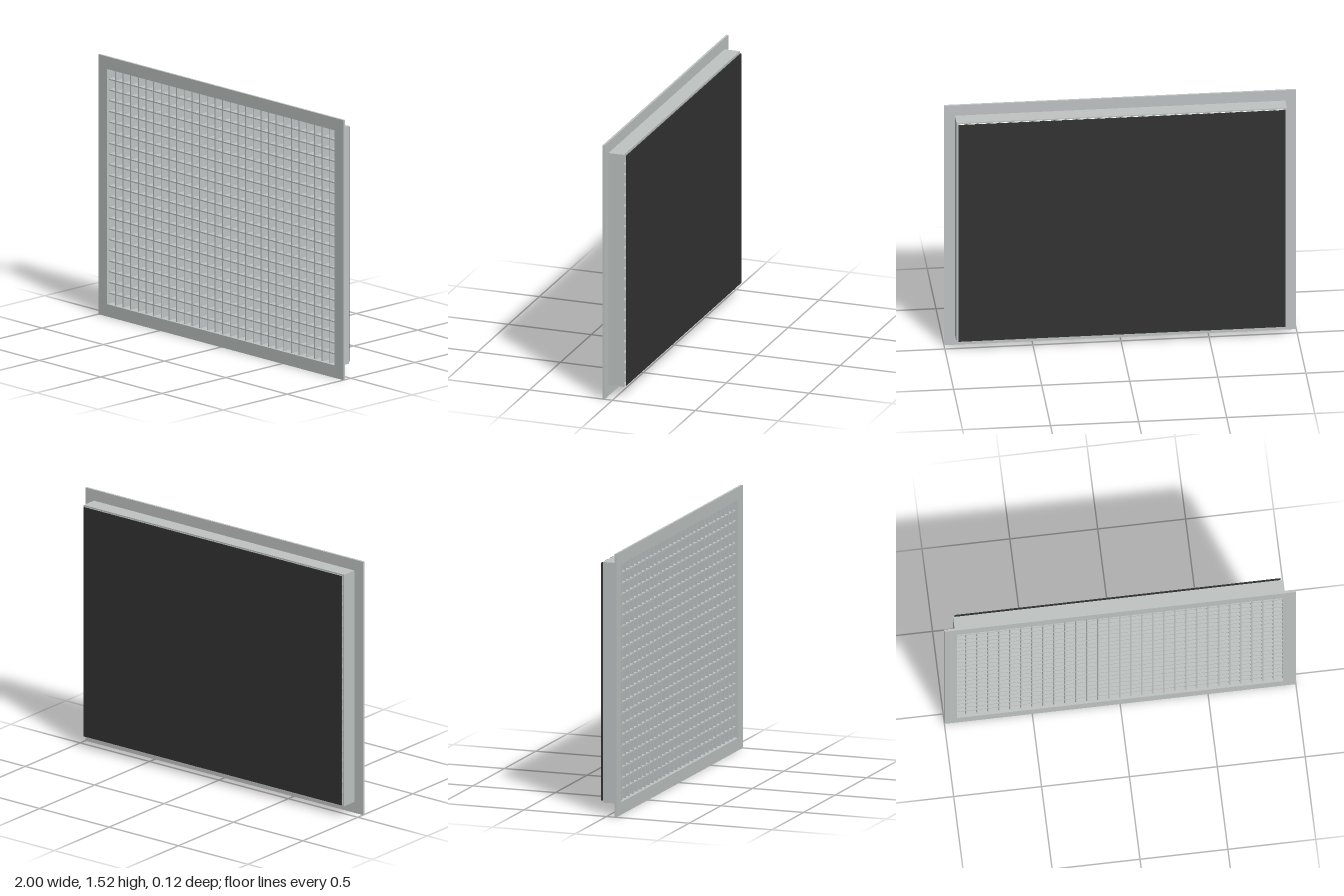
import * as THREE from 'three';

const CENTER_Y = 0.76;
const PITCH = 0.0625;
const BAR = 0.007;
const INNER_W = 1.855, INNER_H = 1.375;
const BODY_BACK = -0.046, BODY_FRONT = 0.047;

// Rectangular ring extruded along z between two depths
function ring(width, height, z0, z1) {
  const rect = (Type, w, h) => {
    const r = new Type();
    r.moveTo(-w / 2, -h / 2);
    r.lineTo(w / 2, -h / 2);
    r.lineTo(w / 2, h / 2);
    r.lineTo(-w / 2, h / 2);
    r.closePath();
    return r;
  };
  const shape = rect(THREE.Shape, width, height);
  shape.holes.push(rect(THREE.Path, INNER_W, INNER_H));
  const geo = new THREE.ExtrudeGeometry(shape, { depth: z1 - z0, bevelEnabled: false });
  return geo.translate(0, 0, z0);
}

export function createModel() {
  const model = new THREE.Group();
  model.name = 'eggCrateGrille';

  const metal = new THREE.MeshStandardMaterial({ color: 0xc0c5c4 });
  metal.name = 'lightGreyMetal';
  const dark = new THREE.MeshStandardMaterial({ color: 0x333333 });
  dark.name = 'darkBacking';

  const add = (name, geo, mat, parent = model) => {
    const mesh = new THREE.Mesh(geo, mat);
    mesh.name = name;
    parent.add(mesh);
    return mesh;
  };

  // Front flange and the shallow neck behind it
  add('flange', ring(2, 1.52, BODY_FRONT, 0.06), metal).position.y = CENTER_Y;
  add('neck', ring(1.876, 1.39, BODY_BACK, BODY_FRONT), metal).position.y = CENTER_Y;

  // Crossing bars of the open grid
  const core = new THREE.Group();
  core.name = 'gridCore';
  core.position.set(0, CENTER_Y, (BODY_BACK + BODY_FRONT) / 2);
  model.add(core);
  const depth = BODY_FRONT - BODY_BACK - 0.002;
  const upright = new THREE.BoxGeometry(BAR, INNER_H, depth);
  const crossbar = new THREE.BoxGeometry(INNER_W, BAR, depth);
  for (let i = -14; i <= 14; i++) add('verticalBar', upright, metal, core).position.x = i * PITCH;
  for (let j = -10; j <= 10; j++) add('horizontalBar', crossbar, metal, core).position.y = j * PITCH;

  // Dark backing sheet, set slightly off the neck
  add('backingSheet', new THREE.BoxGeometry(1.855, 1.375, 0.006), dark)
    .position.set(0, CENTER_Y, -0.057);

  return model;
}
